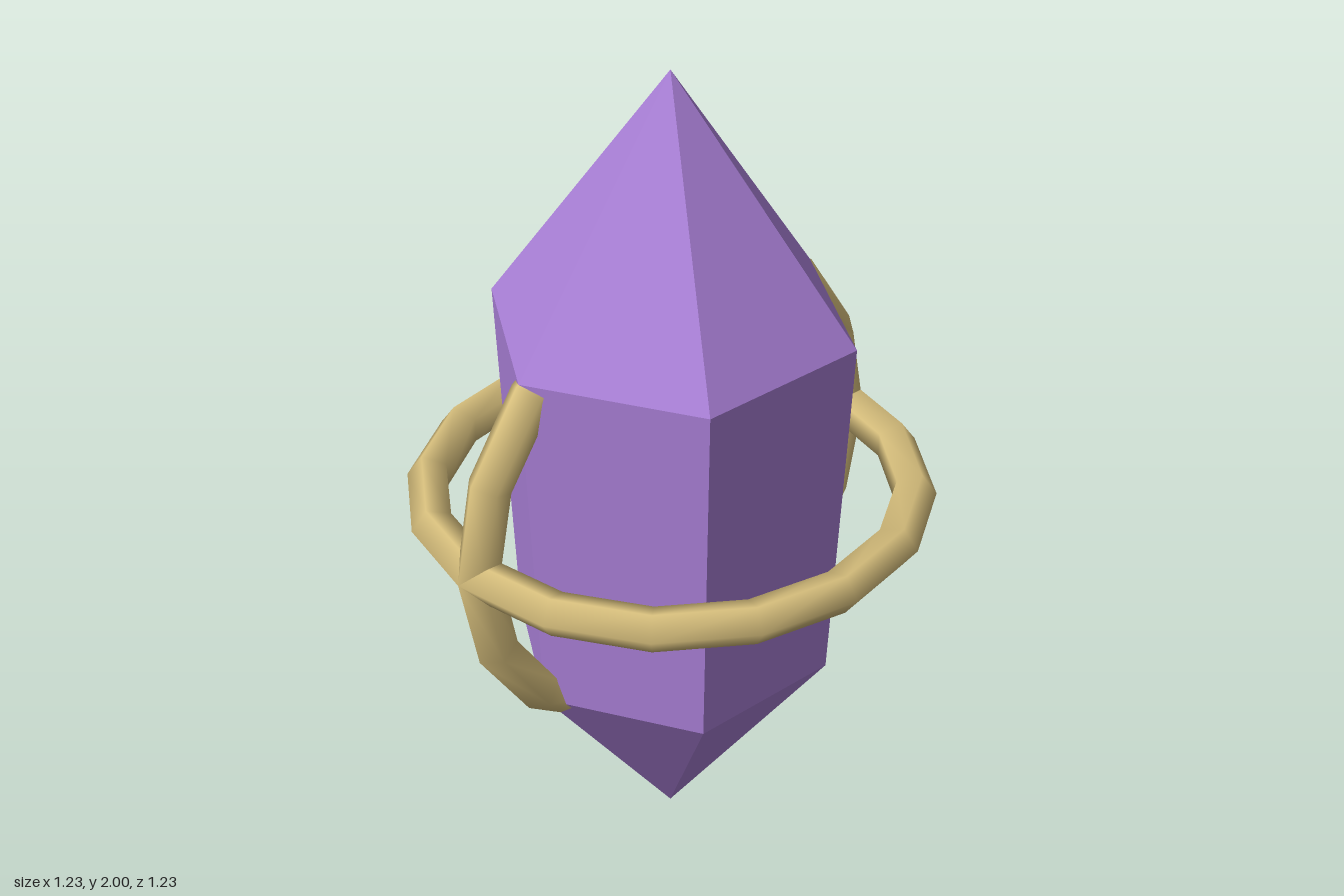
import * as THREE from 'three';

export function createModel() {
  const model = new THREE.Group();
  model.name = 'ringedCrystal';

  const purple = new THREE.MeshStandardMaterial({ color: 0xa97fd6 });
  purple.name = 'crystal purple';
  const gold = new THREE.MeshStandardMaterial({ color: 0xd6be7c });
  gold.name = 'ring gold';

  // Faceted hexagonal crystal, stacked from three open sections
  const crystal = new THREE.Group();
  crystal.name = 'crystal';
  const addSection = (name, rTop, rBottom, yBottom, yTop) => {
    const geo = new THREE.CylinderGeometry(
      rTop, rBottom, yTop - yBottom, 6, 1, true, Math.PI / 2).toNonIndexed();
    geo.computeVertexNormals(); // flat facets
    const mesh = new THREE.Mesh(geo, purple);
    mesh.name = name;
    mesh.position.y = (yBottom + yTop) / 2;
    crystal.add(mesh);
  };
  addSection('lowerPoint', 0.39, 0, 0, 0.525);
  addSection('crystalBody', 0.43, 0.39, 0.525, 1.4);
  addSection('upperPoint', 0, 0.43, 1.4, 2);
  model.add(crystal);

  // Two crossed rings, the upright one running through the crystal
  const ringGeo = new THREE.TorusGeometry(0.565, 0.0515, 5, 16);
  for (const [name, tilt] of [['uprightRing', 0], ['levelRing', Math.PI / 2]]) {
    const ring = new THREE.Mesh(ringGeo, gold);
    ring.name = name;
    ring.position.y = 0.96;
    ring.rotation.x = tilt;
    model.add(ring);
  }

  return model;
}
